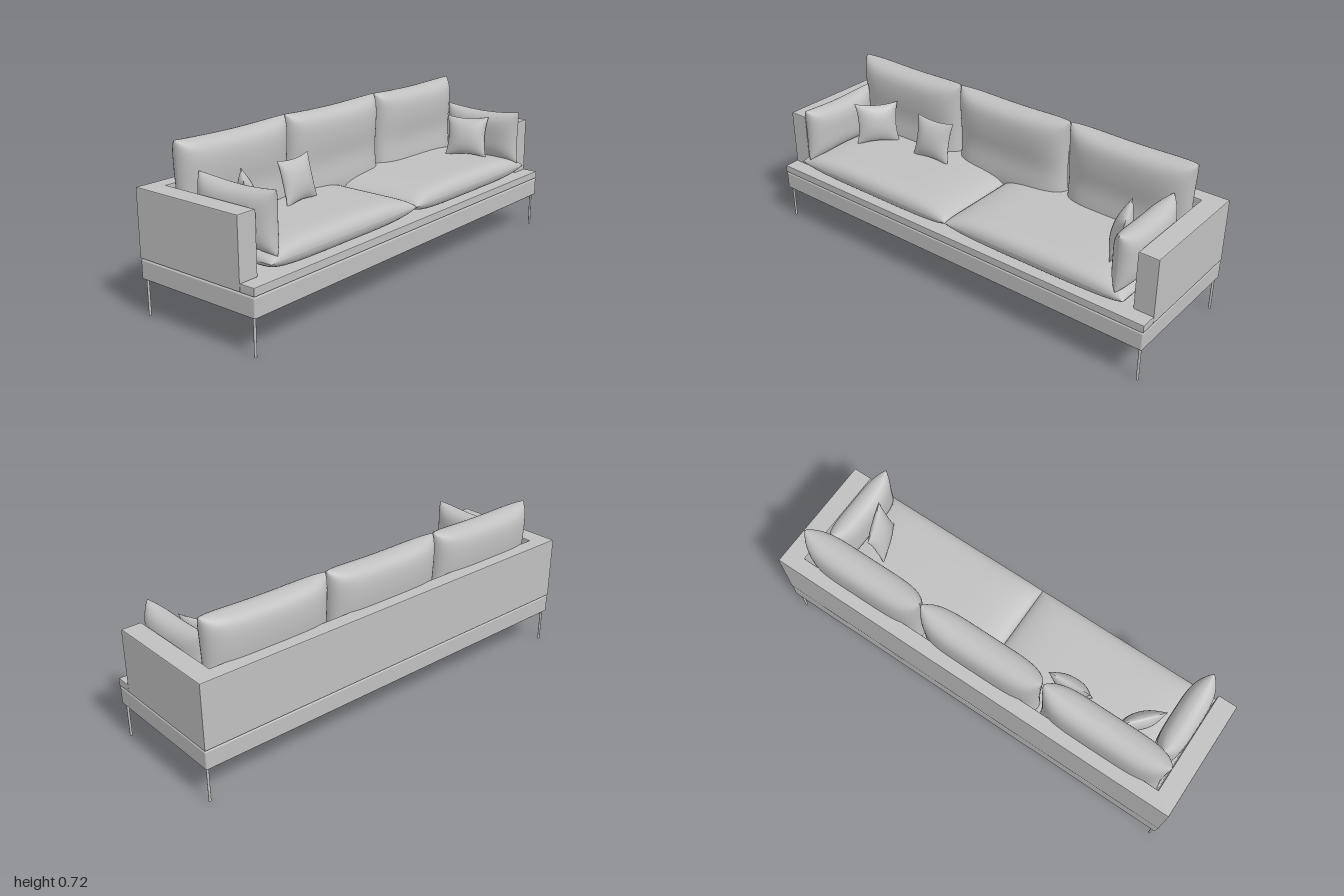
import * as THREE from 'three';
import { mergeGeometries } from 'three/addons/utils/BufferGeometryUtils.js';
import { RoundedBoxGeometry } from 'three/addons/geometries/RoundedBoxGeometry.js';

const fabric = new THREE.MeshStandardMaterial({ color: 0xc0c0c0 });
fabric.name = 'grey';

function add(parent, name, geometry, x = 0, y = 0, z = 0) {
  const mesh = new THREE.Mesh(geometry, fabric);
  mesh.name = name;
  mesh.position.set(x, y, z);
  parent.add(mesh);
  return mesh;
}

// Plan outline [x, z] raised from y0 to y1 with slightly softened edges
function slab(points, y0, y1, bevel = 0.004) {
  const shape = new THREE.Shape(points.map(([x, z]) => new THREE.Vector2(x, -z)));
  const geometry = new THREE.ExtrudeGeometry(shape, {
    depth: y1 - y0 - 2 * bevel, bevelEnabled: true, bevelSize: bevel,
    bevelThickness: bevel, bevelOffset: -bevel, bevelSegments: 2,
  });
  return geometry.rotateX(-Math.PI / 2).translate(0, y0 + bevel, 0);
}

// Stuffed cushion lying in the xy plane: two domed faces meeting at a seam.
// nu, nv set how boxy each direction is; pinchU, pinchV draw the edges inward.
function cushion(halfW, halfH, halfT, { nu = 4, nv = 4, power = 0.5, pinchU = 0, pinchV = 0, waist = 0 } = {}) {
  const face = new THREE.PlaneGeometry(2, 2, 32, 32);
  const p = face.attributes.position;
  for (let i = 0; i < p.count; i++) {
    const u = Math.sin(p.getX(i) * Math.PI / 2);
    const v = Math.sin(p.getY(i) * Math.PI / 2);
    const dome = (t, n) => Math.pow(Math.max(0, 1 - Math.abs(t) ** n), power);
    const squeeze = 1 - waist * Math.exp(-8 * (v + 0.1) ** 2);
    p.setXYZ(i,
      halfW * u * (1 - pinchU * (1 - v * v)),
      halfH * v * (1 - pinchV * (1 - u * u)),
      halfT * dome(u, nu) * dome(v, nv) * squeeze);
  }
  face.computeVertexNormals();
  return mergeGeometries([face, face.clone().rotateY(Math.PI)]);
}

export function createModel() {
  const sofa = new THREE.Group();
  sofa.name = 'sofa';

  // Base frame and the thin recess above it
  add(sofa, 'baseFrame', new RoundedBoxGeometry(0.628, 0.083, 2, 2, 0.006), -0.001, 0.1985, 0);
  add(sofa, 'shadowGap', new THREE.BoxGeometry(0.61, 0.01, 1.982), -0.001, 0.2415, 0);

  // Seat deck, wider in front of the arms
  add(sofa, 'seatDeck', slab([
    [-0.26, -0.915], [0.241, -0.915], [0.241, -1], [0.313, -1],
    [0.313, 1], [0.241, 1], [0.241, 0.915], [-0.26, 0.915],
  ], 0.243, 0.278, 0.003));

  // Back and both arms as one U-shaped shell
  add(sofa, 'backAndArms', slab([
    [-0.315, -1], [0.24, -1], [0.24, -0.91], [-0.245, -0.91],
    [-0.245, 0.91], [0.24, 0.91], [0.24, 1], [-0.315, 1],
  ], 0.243, 0.535));

  // Slim legs
  for (const x of [-0.297, 0.295])
    for (const z of [-0.985, 0.985])
      add(sofa, 'leg', new THREE.CylinderGeometry(0.0055, 0.0055, 0.16, 16), x, 0.08, z);

  // Two seat cushions
  const seat = cushion(0.265, 0.446, 0.056, { nu: 9, nv: 4.5, pinchU: 0.01 }).rotateX(-Math.PI / 2);
  for (const side of [-1, 1]) add(sofa, 'seatCushion', seat, 0.03, 0.329, side * 0.446);

  // Three back cushions
  const back = cushion(0.302, 0.221, 0.077, { nu: 5, nv: 7, pinchU: 0.035, pinchV: 0.05, waist: 0.14 })
    .rotateY(Math.PI / 2);
  for (const i of [-1, 0, 1]) add(sofa, 'backCushion', back, -0.187, 0.5, i * 0.607);

  // Cushions leaning on the arms
  const arm = cushion(0.204, 0.127, 0.062, { nu: 4, nv: 3.5, pinchU: 0.05, pinchV: 0.13 });
  for (const side of [-1, 1]) add(sofa, 'armCushion', arm, 0.082, 0.474, side * 0.848);

  // Small scatter pillows: x, z, turn, lean
  const scatter = cushion(0.102, 0.1, 0.038, { nu: 2.2, nv: 2.2, power: 0.6, pinchU: 0.13, pinchV: 0.13 });
  for (const [x, z, turn, lean] of [
    [-0.02, 0.695, 2.42, 0.18], [-0.055, 0.37, 1.64, 0.25], [0.065, -0.73, 0.4, 0.25],
  ]) add(sofa, 'scatterPillow', scatter, x, 0.473, z).rotation.set(-lean, turn, 0, 'YXZ');

  return sofa;
}
